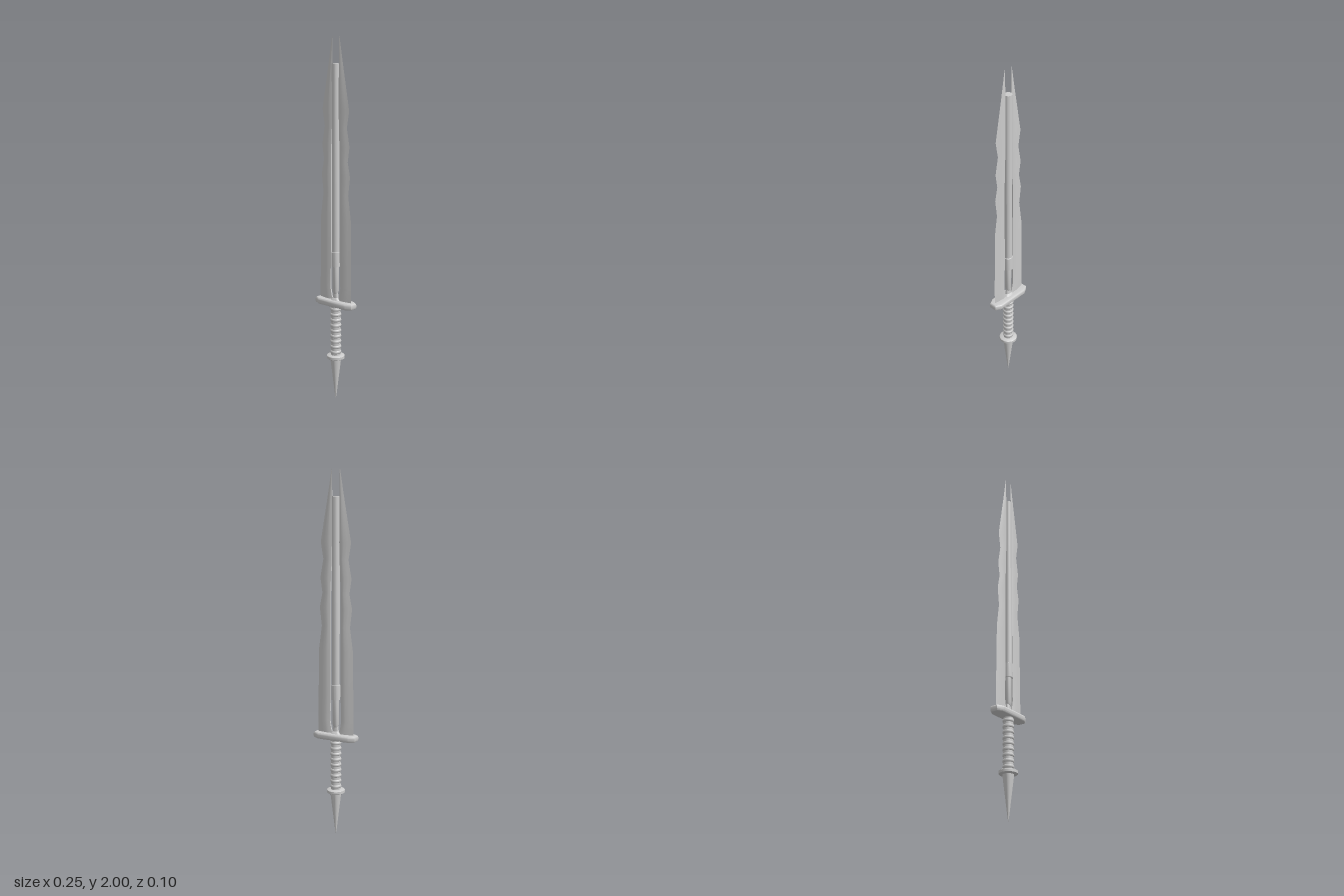
import * as THREE from 'three';
import { toCreasedNormals } from 'three/addons/utils/BufferGeometryUtils.js';

const material = new THREE.MeshStandardMaterial({ color: 0xcccccc });

function add(parent, name, geometry) {
  const mesh = new THREE.Mesh(geometry, material);
  mesh.name = name;
  parent.add(mesh);
  return mesh;
}

// Turned part from [radius, height] pairs, listed bottom to top
function turned(profile, segments = 24) {
  const points = profile.map(([r, y]) => new THREE.Vector2(r, y));
  return toCreasedNormals(new THREE.LatheGeometry(points, segments), 0.6);
}

// One blade half lofted from lens-shaped sections: [y, inner x, outer x, half thickness]
function bladeGeometry() {
  const rows = [
    [0.575, 0.015, 0.108, 0.008], [0.60, 0.026, 0.108, 0.008], [0.65, 0.035, 0.108, 0.008],
    [0.72, 0.033, 0.107, 0.008], [0.80, 0.031, 0.106, 0.008], [1.04, 0.031, 0.103, 0.008],
    [1.17, 0.031, 0.085, 0.008], [1.27, 0.031, 0.097, 0.008], [1.35, 0.030, 0.081, 0.008],
    [1.43, 0.028, 0.093, 0.008], [1.53, 0.024, 0.075, 0.007], [1.62, 0.022, 0.090, 0.007],
    [1.86, 0.022, 0.048, 0.004], [2.00, 0.022, 0.025, 0.0005],
  ];
  const section = [[0, 0.5], [0.2, 0.9], [0.4, 1], [0.7, 0.5], [1, 0], [0.7, -0.5], [0.4, -1], [0.2, -0.9], [0, -0.5]];
  const n = section.length;
  const positions = [], index = [];
  for (const [y, inner, outer, thick] of rows)
    for (const [u, w] of section) positions.push(inner + (outer - inner) * u, y, thick * w);
  for (let j = 0; j < rows.length - 1; j++)
    for (let i = 0; i < n; i++) {
      const a = j * n + i, b = j * n + (i + 1) % n;
      index.push(a, b, b + n, a, b + n, a + n);
    }
  // End caps
  const top = (rows.length - 1) * n;
  for (let i = 1; i < n - 1; i++) index.push(0, i + 1, i, top, top + i, top + i + 1);
  const geometry = new THREE.BufferGeometry();
  geometry.setAttribute('position', new THREE.Float32BufferAttribute(positions, 3));
  geometry.setIndex(index);
  return toCreasedNormals(geometry, 0.5);
}

export function createModel() {
  const sword = new THREE.Group();
  sword.name = 'sword';

  // Spiked pommel and its collar
  add(sword, 'pommelSpike', turned([[0, 0], [0.004, 0.02], [0.028, 0.22], [0.03, 0.245]]));
  add(sword, 'pommelCollar', turned([
    [0, 0.24], [0.044, 0.24], [0.05, 0.244], [0.05, 0.258], [0.044, 0.262], [0, 0.262],
  ]));

  // Grip with evenly spaced ribs
  add(sword, 'grip', new THREE.CylinderGeometry(0.026, 0.026, 0.30, 24).translate(0, 0.405, 0));
  for (let i = 0; i < 9; i++) {
    const rib = add(sword, 'gripRib', new THREE.TorusGeometry(0.023, 0.008, 8, 24));
    rib.rotation.x = Math.PI / 2;
    rib.scale.z = 1.3;
    rib.position.y = 0.28 + i * 0.031;
  }

  // Eight-sided guard with bevelled rims
  const outline = new THREE.Shape([
    [0.09, -0.03], [0.116, -0.016], [0.116, 0.016], [0.09, 0.03],
    [-0.09, 0.03], [-0.116, 0.016], [-0.116, -0.016], [-0.09, -0.03],
  ].map(([x, y]) => new THREE.Vector2(x, y)));
  const guard = new THREE.ExtrudeGeometry(outline, {
    depth: 0.013, bevelThickness: 0.011, bevelSize: 0.01, bevelSegments: 3,
  });
  guard.rotateX(-Math.PI / 2).translate(0, 0.556, 0);
  add(sword, 'guard', toCreasedNormals(guard, 0.5));

  // Flared socket where the blades meet the guard
  const socket = add(sword, 'bladeSocket', turned([[0.024, 0.575], [0.019, 0.584], [0.012, 0.592], [0.009, 0.63]]));
  socket.scale.x = 1.5;

  // Stepped central rod
  add(sword, 'rodNeck', turned([[0, 0.61], [0.012, 0.615], [0.017, 0.63], [0.017, 0.78]], 16));
  add(sword, 'rodSleeve', turned([[0, 0.77], [0.024, 0.77], [0.024, 0.85], [0.021, 0.852]], 16));
  add(sword, 'rod', turned([[0.021, 0.84], [0.021, 1.86], [0, 1.86]], 16));

  // Two matching blade halves
  const blade = bladeGeometry();
  add(sword, 'leftBlade', blade);
  add(sword, 'rightBlade', blade).rotation.y = Math.PI;

  return sword;
}
